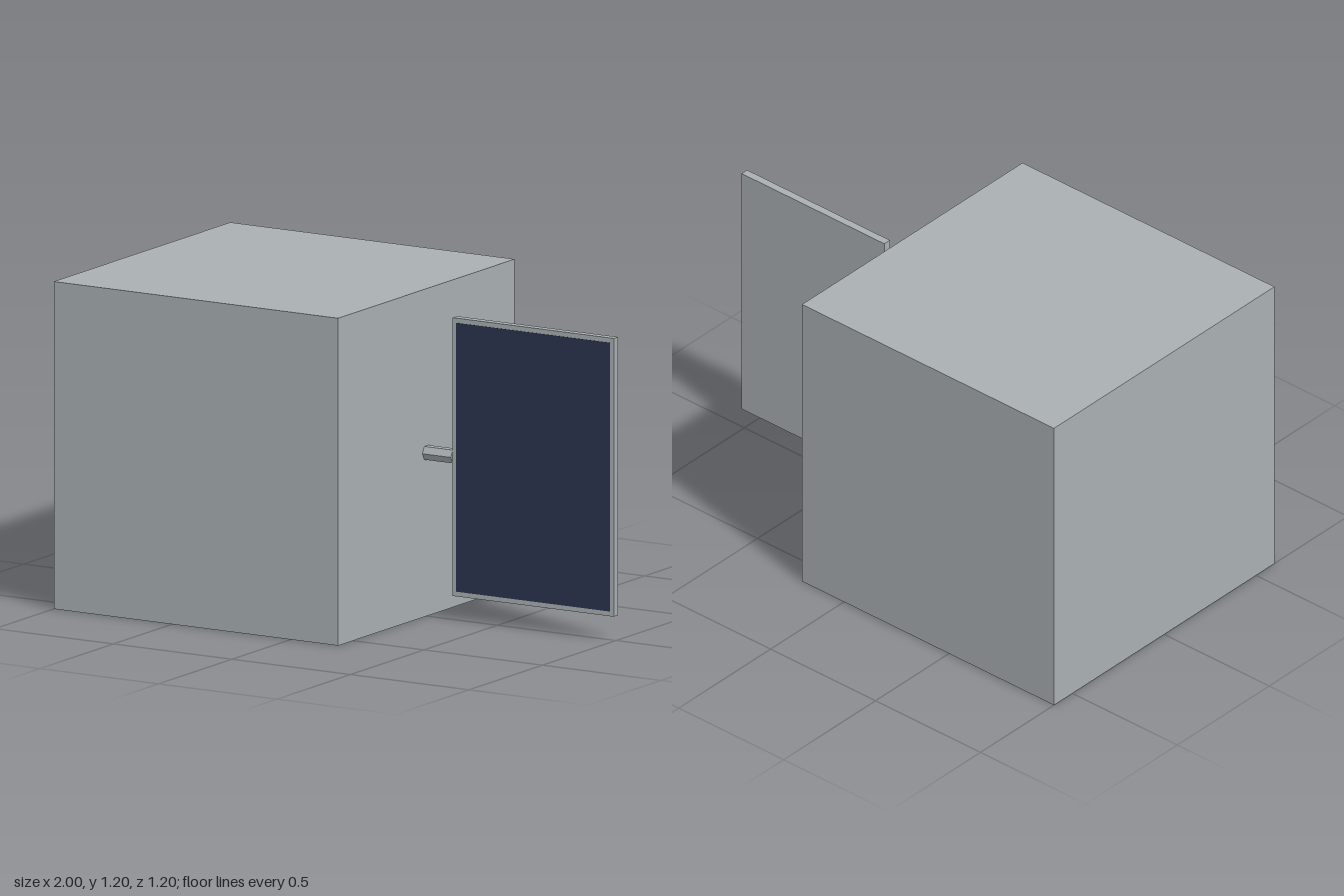
import * as THREE from 'three';

export function createModel() {
  const model = new THREE.Group();
  const grey = new THREE.MeshStandardMaterial({ color: 0xaab0b3 });
  grey.name = 'hull grey';
  const navy = new THREE.MeshStandardMaterial({ color: 0x2c344f });
  navy.name = 'solar cell navy';

  const add = (name, geometry, material, x, y, z) => {
    const mesh = new THREE.Mesh(geometry, material);
    mesh.name = name;
    mesh.position.set(x, y, z);
    model.add(mesh);
    return mesh;
  };

  // Cubic hull
  add('hull', new THREE.BoxGeometry(1.2, 1.2, 1.2), grey, -0.4, 0.6, 0);

  // Faceted rod holding the panel, with corners pointing to front and back
  const rod = new THREE.CylinderGeometry(0.028, 0.028, 0.12, 6).toNonIndexed();
  rod.computeVertexNormals();
  rod.rotateZ(Math.PI / 2);
  add('panelRod', rod, grey, 0.26, 0.6, 0);

  // Panel backing with a thin dark cell plate on its front
  add('panelFrame', new THREE.BoxGeometry(0.68, 1.02, 0.03), grey, 0.66, 0.6, 0);
  add('solarCell', new THREE.BoxGeometry(0.648, 0.985, 0.002), navy, 0.66, 0.6, 0.0155);

  return model;
}
